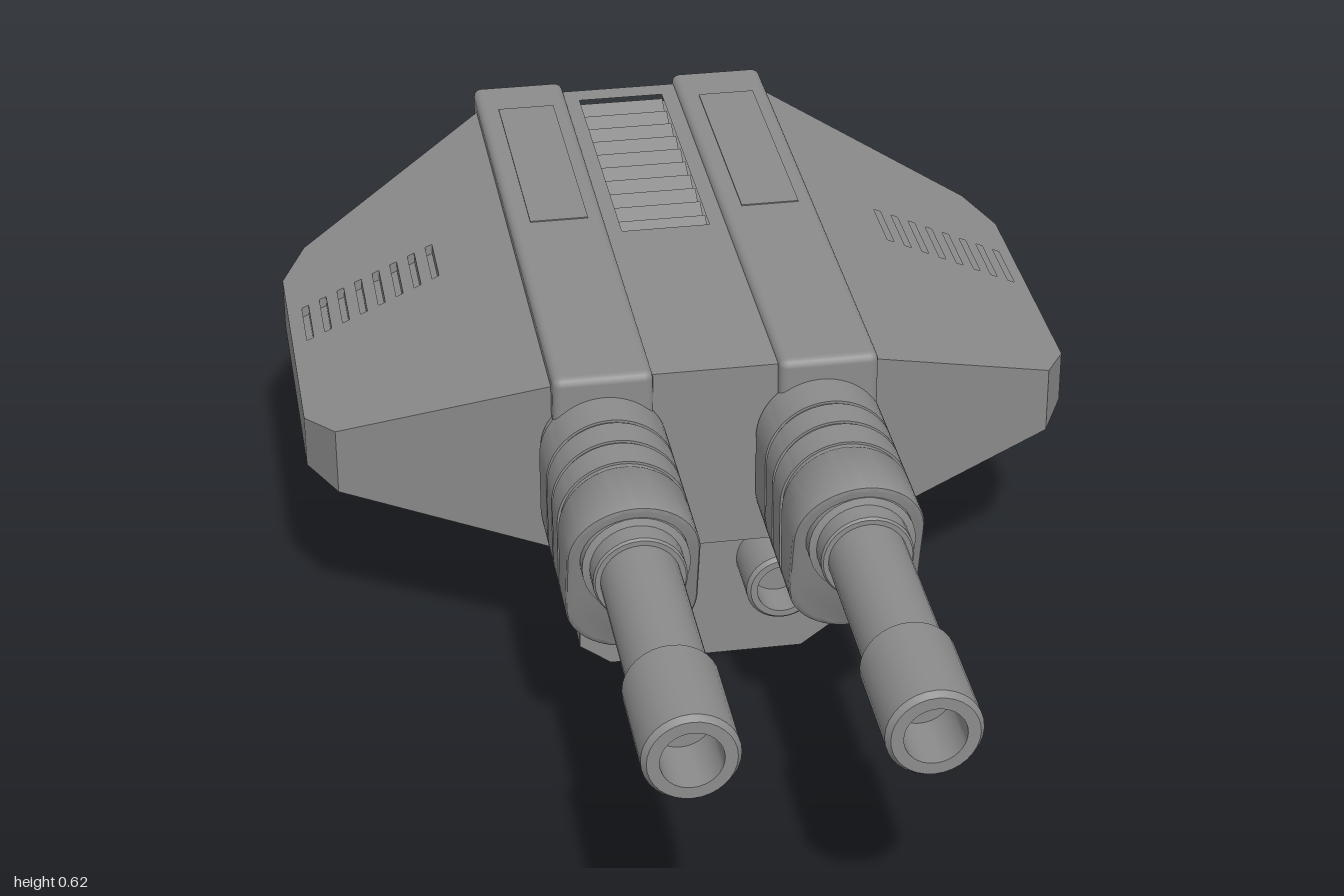
import * as THREE from 'three';
import { toCreasedNormals } from 'three/addons/utils/BufferGeometryUtils.js';
import { RoundedBoxGeometry } from 'three/addons/geometries/RoundedBoxGeometry.js';

const material = new THREE.MeshStandardMaterial({ color: 0x8c8c8c });
const sheetMaterial = new THREE.MeshStandardMaterial({ color: 0x8c8c8c, side: THREE.DoubleSide });

export function createModel() {
  const model = new THREE.Group();

  const add = (name, geometry, x = 0, y = 0, z = 0, mat = material) => {
    const mesh = new THREE.Mesh(geometry, mat);
    mesh.name = name;
    mesh.position.set(x, y, z);
    model.add(mesh);
    return mesh;
  };

  // Box given by its limits
  const box = (name, x0, x1, y0, y1, z0, z1, radius = 0) => {
    const size = [Math.abs(x1 - x0), y1 - y0, z1 - z0];
    const geometry = radius ? new RoundedBoxGeometry(...size, 2, radius) : new THREE.BoxGeometry(...size);
    return add(name, geometry, (x0 + x1) / 2, (y0 + y1) / 2, (z0 + z1) / 2);
  };

  // Solid drawn in plan as [x, z] points, with floor and roof heights given by functions of x
  const toPoints = (plan) => plan.map(([x, z]) => new THREE.Vector2(x, -z));
  const slab = (name, plan, holes, low, high) => {
    const shape = new THREE.Shape(toPoints(plan));
    for (const hole of holes) shape.holes.push(new THREE.Path(toPoints(hole)));
    const geometry = new THREE.ExtrudeGeometry(shape, { depth: 1, bevelEnabled: false });
    const p = geometry.attributes.position;
    for (let i = 0; i < p.count; i++) {
      const x = p.getX(i);
      p.setXYZ(i, x, THREE.MathUtils.lerp(low(x), high(x), p.getZ(i)), -p.getY(i));
    }
    geometry.computeVertexNormals();
    return add(name, geometry);
  };
  const rect = (x0, x1, z0, z1) => [[x0, z0], [x1, z0], [x1, z1], [x0, z1]];

  // Turned part along z from [radius, z] points
  const turned = (name, profile, x, y) => {
    const geometry = new THREE.LatheGeometry(profile.map(([r, z]) => new THREE.Vector2(r, z)), 32);
    geometry.rotateX(Math.PI / 2);
    return add(name, toCreasedNormals(geometry, 0.6), x, y, 0);
  };

  // Central hull with a recessed roof grille
  box('hullCore', -0.11, 0.11, 0.275, 0.57, -0.91, 0.135);
  slab('hullDeck', rect(-0.11, 0.11, -0.91, 0.135), [rect(-0.078, 0.073, -0.87, -0.355)], () => 0.57, () => 0.602);
  for (let i = 0; i < 10; i++) {
    const z = -0.867 + i * 0.0515;
    const slat = box('grilleSlat', -0.078, 0.073, 0.579, 0.587, z, z + 0.047);
    slat.rotation.x = 0.45;
  }
  box('hullFloor', -0.21, 0.206, 0.25, 0.276, -0.9, 0.05);

  // Long side pods
  for (const [x0, x1] of [[-0.265, -0.103], [0.1, 0.262]]) {
    box('sidePod', x0, x1, 0.262, 0.614, -0.932, 0.152, 0.014);
    box('podTopPanel', x0 + 0.035, x1 - 0.028, 0.6, 0.616, -0.83, -0.39);
  }

  // Wings in layers: rim round a shallow recess, deeper rear pocket, solid core, slotted skin
  const span = (x) => (Math.abs(x) - 0.255) / 0.39;
  const top = (x) => 0.593 - 0.178 * span(x);
  const bottom = (x) => 0.284 + 0.041 * span(x);
  const recessRoof = (x) => bottom(x) + 0.022;
  const pocketRoof = (x) => bottom(x) + 0.05;
  const slotFloor = (x) => top(x) - 0.018;
  for (const s of [-1, 1]) {
    const mirror = (plan) => plan.map(([x, z]) => [s * x, z]);
    const outline = mirror([[0.255, -0.885], [0.6, -0.7], [0.645, -0.62], [0.645, -0.14], [0.6, -0.052], [0.255, 0.128]]);
    const recess = mirror([[0.28, -0.83], [0.58, -0.668], [0.618, -0.6], [0.618, -0.16], [0.58, -0.086], [0.28, 0.072]]);
    const pocket = mirror([[0.34, -0.75], [0.575, -0.63], [0.6, -0.58], [0.6, -0.39], [0.4, -0.39]]);
    const slots = [];
    for (let i = 0; i < 8; i++) {
      const x = 0.39 + i * 0.0312;
      slots.push(mirror(rect(x, x + 0.012, -0.495, -0.38)));
    }
    slab('wingRim', outline, [recess], bottom, recessRoof);
    slab('wingPocketLayer', outline, [pocket], recessRoof, pocketRoof);
    slab('wingCore', outline, [], pocketRoof, slotFloor);
    slab('wingSkin', outline, slots, slotFloor, top);
  }

  // Lower radiator: two end plates with corrugated walls between them
  const plate = new THREE.Shape([[-0.21, 0.275], [-0.21, 0.155], [-0.217, 0.155], [-0.217, 0.038], [-0.165, 0],
    [0.161, 0], [0.213, 0.038], [0.213, 0.155], [0.206, 0.155], [0.206, 0.275]].map((p) => new THREE.Vector2(...p)));
  add('frontEndPlate', new THREE.ShapeGeometry(plate), 0, 0, 0.052, sheetMaterial);
  add('rearEndPlate', new THREE.ShapeGeometry(plate).rotateY(Math.PI), -0.004, 0, -0.902, sheetMaterial);
  for (const s of [-1, 1]) {
    const at = (x) => s * x - 0.002;
    box('radiatorWall', at(0.178), at(0.186), 0.038, 0.26, -0.9, 0.05);
    for (let i = 0; i < 12; i++) {
      const z = -0.9 + i * 0.0818;
      box('radiatorFin', at(0.182), at(0.208), 0.038, 0.26, z, z + 0.05);
      box('radiatorFinFoot', at(0.155), at(0.215), 0.038, 0.155, z + 0.004, z + 0.046);
    }
  }

  // Short hollow pipes at both ends of the radiator
  for (const x of [-0.118, 0.109]) {
    turned('frontPipe', [[0, 0.04], [0.06, 0.04], [0.06, 0.148], [0.054, 0.155], [0.043, 0.155], [0.043, 0.09], [0, 0.09]], x, 0.185);
    turned('rearPipe', [[0, -0.94], [0.04, -0.94], [0.04, -1], [0.055, -1], [0.061, -0.993], [0.061, -0.89], [0, -0.89]], x, 0.155);
  }

  // Stadium-shaped sleeve segment; rake slopes the front face back towards the bottom
  const sleeve = (name, x, z0, z1, radius, rake, bevel) => {
    const r = radius - bevel;
    const shape = new THREE.Shape();
    shape.absarc(0, 0.473, r, 0, Math.PI, false);
    shape.absarc(0, 0.373, r, Math.PI, Math.PI * 2, false);
    const depth = z1 - z0 - 2 * bevel;
    const geometry = new THREE.ExtrudeGeometry(shape, {
      depth, curveSegments: 16, bevelEnabled: bevel > 0, bevelSize: bevel, bevelThickness: bevel, bevelSegments: 2,
    });
    const p = geometry.attributes.position;
    for (let i = 0; i < p.count; i++) {
      const z = p.getZ(i) + bevel;
      p.setZ(i, z0 + z - (z / (z1 - z0)) * rake * (0.573 - p.getY(i)));
    }
    geometry.computeVertexNormals();
    add(name, toCreasedNormals(geometry, 0.6), x);
  };

  // Twin guns
  for (const x of [-0.184, 0.168]) {
    sleeve('sleeveCore', x, 0.12, 0.4, 0.1, 0, 0);
    for (const [z0, z1] of [[0.14, 0.223], [0.231, 0.286], [0.294, 0.35]]) sleeve('sleeveBand', x, z0, z1, 0.104, 0, 0);
    sleeve('sleeveNose', x, 0.358, 0.487, 0.104, 0.28, 0.008);
    turned('barrel', [
      [0, 0.38], [0.084, 0.38], [0.084, 0.484], [0.073, 0.488], [0.073, 0.523], [0.07, 0.527], [0.062, 0.527],
      [0.062, 0.808], [0.068, 0.808], [0.073, 0.814], [0.073, 0.99], [0.066, 1], [0.047, 1], [0.047, 0.9], [0, 0.9],
    ], x, 0.473);
  }

  return model;
}
